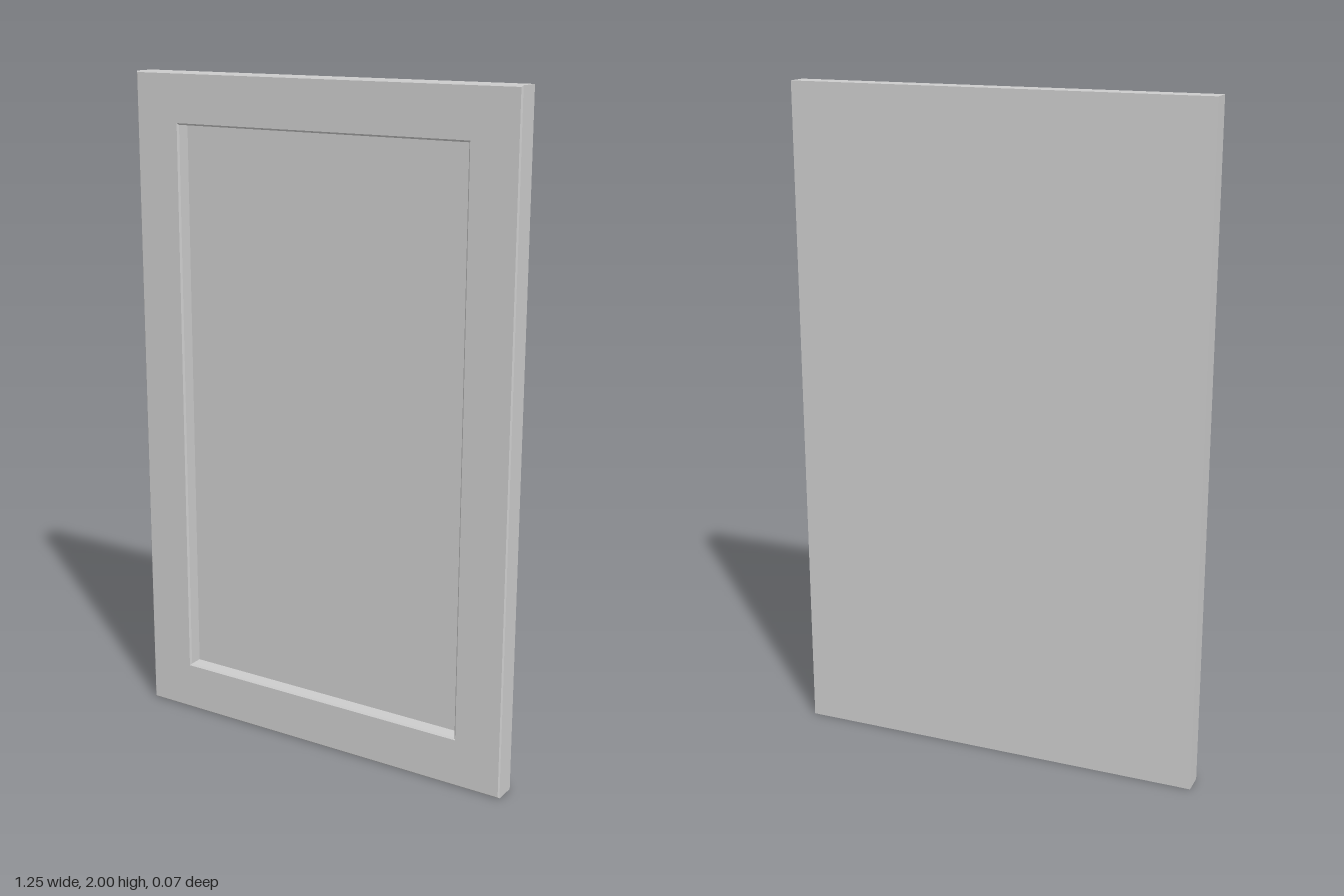
import * as THREE from 'three';

const W = 1.25, H = 2;

// Four corners of a rectangle inset from the outer edge, counter-clockwise from the front
function ring(inset, z) {
  const x = W / 2 - inset, lo = inset, hi = H - inset;
  return [[-x, lo, z], [x, lo, z], [x, hi, z], [-x, hi, z]];
}

// Joins successive rings with flat mitred quads
function loft(rings) {
  const pos = [];
  const quad = (a, b, c, d) => pos.push(...a, ...b, ...c, ...a, ...c, ...d);
  for (let i = 0; i < rings.length - 1; i++) {
    const p = rings[i], q = rings[i + 1];
    for (let k = 0; k < 4; k++) {
      const n = (k + 1) % 4;
      quad(p[k], p[n], q[n], q[k]);
    }
  }
  const g = new THREE.BufferGeometry();
  g.setAttribute('position', new THREE.Float32BufferAttribute(pos, 3));
  g.computeVertexNormals();
  return g;
}

export function createModel() {
  const group = new THREE.Group();
  group.name = 'cabinetDoor';
  const material = new THREE.MeshStandardMaterial({ color: 0xcccccc, flatShading: true });
  const add = (name, geometry) => {
    const mesh = new THREE.Mesh(geometry, material);
    mesh.name = name;
    group.add(mesh);
    return mesh;
  };

  // Frame: outer sides, eased front edge, mitred face, eased inner edge, recess walls
  add('frame', loft([
    ring(0, -0.035), ring(0, 0.031), ring(0.004, 0.035),
    ring(0.145, 0.035), ring(0.15, 0.03), ring(0.15, -0.01),
  ]));

  // Recessed centre panel
  const panel = add('centrePanel', new THREE.PlaneGeometry(W - 0.3, H - 0.3));
  panel.position.set(0, H / 2, -0.01);

  // Plain back
  const back = add('back', new THREE.PlaneGeometry(W, H));
  back.position.set(0, H / 2, -0.035);
  back.rotation.y = Math.PI;

  return group;
}
